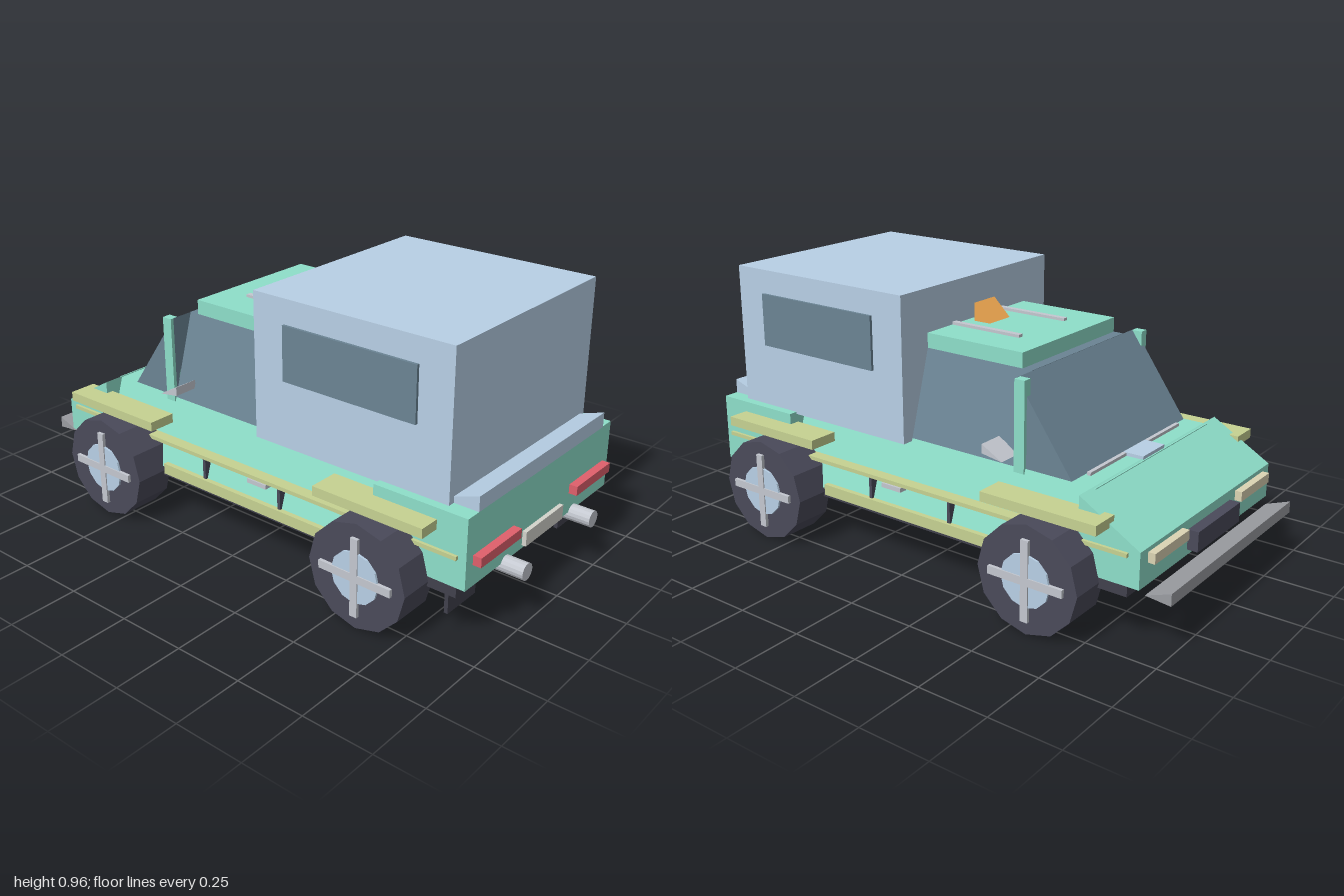
import * as THREE from 'three';

const mat = (color) => new THREE.MeshStandardMaterial({ color, flatShading: true });
const M = {
  body: mat(0x8edfca), blue: mat(0xb8d0e6), dark: mat(0x4a4a5a), under: mat(0x41414d),
  glass: mat(0x6b8494), trim: mat(0xc6d292), red: mat(0xe0606c), orange: mat(0xf0a850),
  cream: mat(0xdcd4b4), plate: mat(0xd4d4cc), metal: mat(0xc4c8d0), bumper: mat(0x9b9da2),
};

export function createModel() {
  const car = new THREE.Group();
  car.name = 'camperTruck';

  const add = (name, geometry, material, parent = car) => {
    const mesh = new THREE.Mesh(geometry, material);
    mesh.name = name;
    parent.add(mesh);
    return mesh;
  };
  // Box given by its limits on each axis
  const box = (name, material, x0, x1, y0, y1, z0, z1) =>
    add(name, new THREE.BoxGeometry(x1 - x0, y1 - y0, z1 - z0)
      .translate((x0 + x1) / 2, (y0 + y1) / 2, (z0 + z1) / 2), material);
  // The same box on the left and the right
  const pair = (name, material, x0, x1, ...rest) => {
    box(name + 'Left', material, x0, x1, ...rest);
    box(name + 'Right', material, -x1, -x0, ...rest);
  };
  const extrude = (points, depth) => new THREE.ExtrudeGeometry(
    new THREE.Shape(points.map(([a, b]) => new THREE.Vector2(a, b))), { depth, bevelEnabled: false });
  // Side profile of [z, y] points, running from x0 to x1
  const sideProfile = (name, material, points, x0, x1) =>
    add(name, extrude(points, x1 - x0).rotateY(-Math.PI / 2).translate(x1, 0, 0), material);
  // Symmetrical section tapering from bottom to top, running from z0 to z1
  const taper = (name, material, bottom, top, y0, y1, z0, z1) =>
    add(name, extrude([[-bottom, y0], [bottom, y0], [top, y1], [-top, y1]], z1 - z0)
      .translate(0, 0, z0), material);

  // Chassis and body
  box('chassis', M.under, -0.448, 0.448, 0.17, 0.205, -0.86, 0.89);
  taper('middleBody', M.body, 0.45, 0.37, 0.205, 0.455, -0.69, 0.58);
  box('rearBody', M.body, -0.447, 0.447, 0.205, 0.453, 0.57, 0.92);
  sideProfile('nose', M.body, [[-0.9, 0.205], [-0.68, 0.205], [-0.68, 0.458], [-0.9, 0.33]], -0.447, 0.447);

  // Cab
  taper('cabGlass', M.glass, 0.37, 0.28, 0.455, 0.757, -0.385, 0.06);
  sideProfile('windscreen', M.glass, [[-0.6, 0.455], [-0.385, 0.455], [-0.385, 0.756]], -0.365, 0.365);
  box('roof', M.body, -0.28, 0.28, 0.755, 0.81, -0.347, 0.06);
  pair('windscreenPost', M.body, 0.345, 0.378, 0.44, 0.755, -0.425, -0.385);
  pair('roofRail', M.metal, 0.125, 0.146, 0.808, 0.82, -0.235, 0.06);
  sideProfile('beacon', M.orange, [[-0.05, 0.808], [0.02, 0.808], [0.02, 0.875]], -0.058, 0.058);
  box('wiper', M.metal, -0.29, 0.29, 0.45, 0.466, -0.622, -0.608);
  box('bonnetVent', M.blue, -0.07, 0.07, 0.45, 0.467, -0.685, -0.61);
  for (const [name, x0, x1] of [['mirrorLeft', 0.35, 0.443], ['mirrorRight', -0.443, -0.35]])
    sideProfile(name, M.metal, [[-0.385, 0.493], [-0.305, 0.505], [-0.305, 0.537]], x0, x1);

  // Camper box
  box('camperBox', M.blue, -0.415, 0.415, 0.445, 0.965, 0.05, 0.83);
  pair('camperWindow', M.glass, 0.41, 0.425, 0.685, 0.878, 0.18, 0.705);
  sideProfile('tailLip', M.blue, [[0.82, 0.45], [0.92, 0.45], [0.92, 0.505], [0.82, 0.472]], -0.39, 0.39);

  // Side trim and doors
  pair('rearFender', M.trim, 0.41, 0.523, 0.38, 0.414, 0.385, 0.81);
  pair('frontFender', M.trim, 0.42, 0.523, 0.38, 0.414, -0.79, -0.357);
  pair('trimStrip', M.trim, 0.4, 0.458, 0.305, 0.319, -0.86, 0.89);
  pair('sill', M.trim, 0.4, 0.462, 0.186, 0.226, -0.37, 0.395);
  for (const z of [0.178, -0.172]) pair('doorSeam', M.dark, 0.4, 0.452, 0.226, 0.305, z - 0.006, z + 0.006);
  pair('doorHandle', M.metal, 0.4, 0.455, 0.283, 0.299, 0.037, 0.122);

  // Rear fittings
  pair('tailLight', M.red, 0.178, 0.41, 0.281, 0.315, 0.91, 0.95);
  box('rearPlate', M.plate, -0.118, 0.118, 0.216, 0.268, 0.91, 0.935);
  pair('mudFlap', M.under, 0.264, 0.42, 0.08, 0.18, 0.832, 0.846);
  for (const x of [-0.215, 0.215])
    add('exhaust', new THREE.CylinderGeometry(0.03, 0.03, 0.11, 16).rotateX(Math.PI / 2)
      .translate(x, 0.195, 0.945), M.metal);

  // Nose fittings
  pair('headlight', M.cream, 0.185, 0.4, 0.28, 0.315, -0.925, -0.89);
  box('grille', M.dark, -0.147, 0.147, 0.225, 0.295, -0.938, -0.89);
  sideProfile('frontBumper', M.bumper, [[-1, 0.175], [-0.91, 0.184], [-1, 0.217]], -0.427, 0.427);

  // Wheels: twelve-sided tyre, hub and cross-shaped spokes
  for (const side of [1, -1]) for (const z of [0.6, -0.573]) {
    const wheel = new THREE.Group();
    wheel.name = (z > 0 ? 'rear' : 'front') + 'Wheel' + (side > 0 ? 'Left' : 'Right');
    wheel.position.set(side * 0.495, 0.188, z);
    add('tyre', new THREE.CylinderGeometry(0.188, 0.188, 0.15, 12).rotateZ(Math.PI / 2), M.dark, wheel);
    add('hub', new THREE.CylinderGeometry(0.092, 0.092, 0.03, 12).rotateZ(Math.PI / 2)
      .translate(side * 0.068, 0, 0), M.blue, wheel);
    for (const [h, d] of [[0.28, 0.028], [0.028, 0.28]])
      add('spoke', new THREE.BoxGeometry(0.016, h, d).translate(side * 0.079, 0, 0), M.metal, wheel);
    car.add(wheel);
  }
  return car;
}
